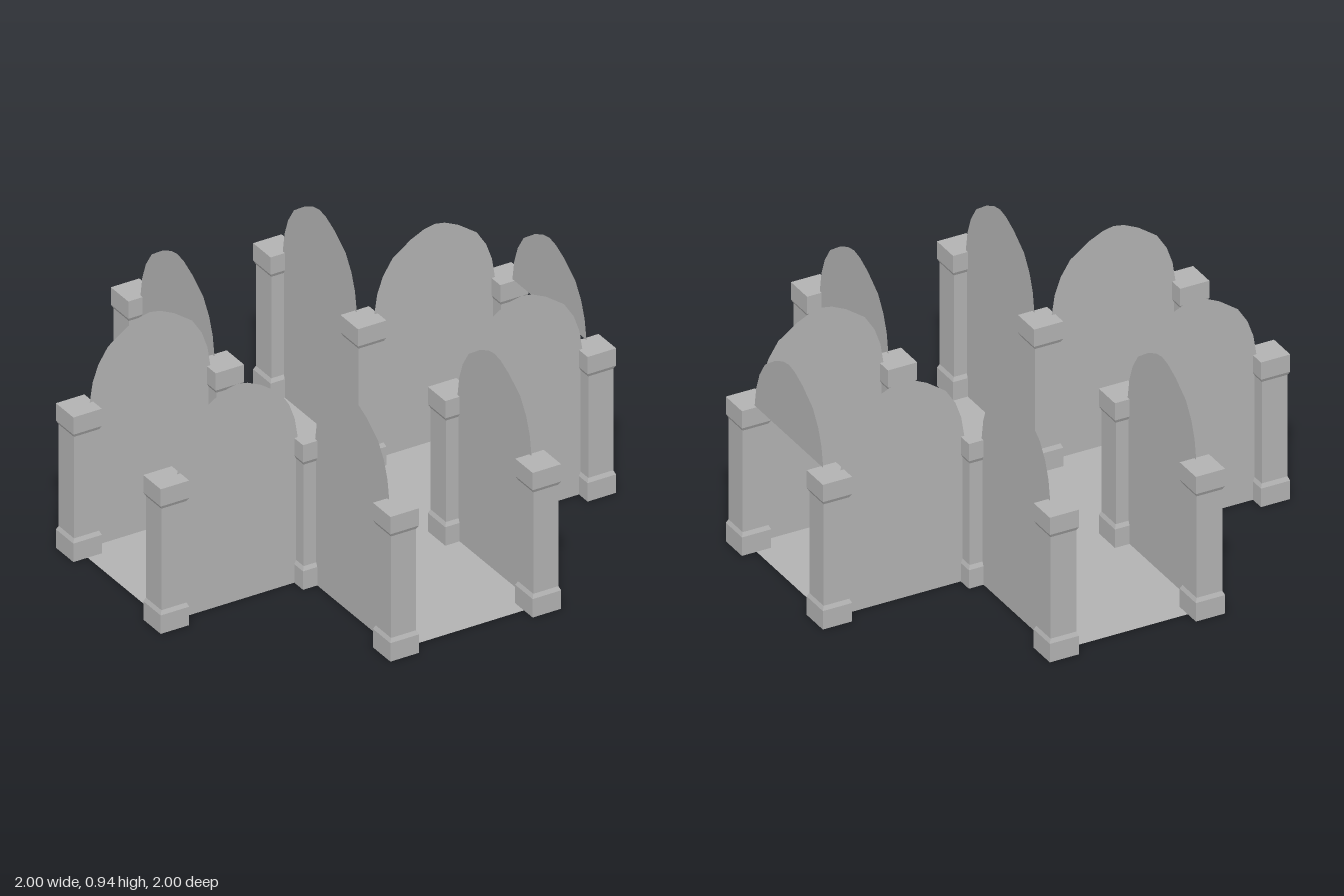
import * as THREE from 'three';

const NEAR = 0.3125, FAR = 0.9375, MID = 0.625;
const SPRING = 0.627; // height of the pillar tops, where the arches begin

// Right half of the pointed arch, from springing line to peak
const ARCH = [[0.265, SPRING], [0.252, 0.71], [0.227, 0.78], [0.185, 0.845], [0.105, 0.902], [0.045, 0.93], [0, 0.9385]];

// Flat panel with an arched top, starting at the given height
function archPanel(bottom) {
  const half = bottom < SPRING ? [[0.265, bottom], ...ARCH] : ARCH;
  const left = half.slice(0, -1).reverse().map(([x, y]) => [-x, y]);
  return new THREE.ShapeGeometry(new THREE.Shape([...half, ...left].map(([x, y]) => new THREE.Vector2(x, y))));
}

// Square pillar with bevelled base and cap: a four-sided lathe
function pillarGeometry() {
  const profile = [[0, 0], [0.0625, 0], [0.0625, 0.08], [0.055, 0.097], [0.055, 0.537], [0.0625, 0.552], [0.0625, SPRING], [0, SPRING]];
  const points = profile.map(([r, y]) => new THREE.Vector2(r * Math.SQRT2, y));
  const geometry = new THREE.LatheGeometry(points, 4, Math.PI / 4).toNonIndexed();
  geometry.computeVertexNormals();
  return geometry;
}

export function createModel() {
  const group = new THREE.Group();
  const stone = new THREE.MeshStandardMaterial({ color: 0xb2b2b2, side: THREE.DoubleSide });
  stone.name = 'grey stone';

  const add = (name, geometry, x, z, turn = 0) => {
    const mesh = new THREE.Mesh(geometry, stone);
    mesh.name = name;
    mesh.position.set(x, 0, z);
    mesh.rotation.y = turn;
    group.add(mesh);
    return mesh;
  };

  // Cross-shaped floor
  const corners = [];
  for (const [sx, sy] of [[1, 1], [-1, 1], [-1, -1], [1, -1]]) {
    const arm = [[FAR, NEAR], [NEAR, NEAR], [NEAR, FAR]];
    if (sx * sy < 0) arm.reverse();
    for (const [x, y] of arm) corners.push(new THREE.Vector2(sx * x, sy * y));
  }
  const floor = new THREE.ShapeGeometry(new THREE.Shape(corners));
  floor.rotateX(-Math.PI / 2);
  add('floor', floor, 0, 0);

  // Pillars and arched walls, mirrored into all four corners
  const pillar = pillarGeometry();
  const wall = archPanel(0);
  for (const sx of [-1, 1]) {
    for (const sz of [-1, 1]) {
      add('innerPillar', pillar, sx * NEAR, sz * NEAR);
      add('sidePillar', pillar, sx * FAR, sz * NEAR);
      add('endPillar', pillar, sx * NEAR, sz * FAR);
      add('sideWall', wall, sx * MID, sz * NEAR, sz > 0 ? 0 : Math.PI);
      add('endWall', wall, sx * NEAR, sz * MID, sx * Math.PI / 2);
    }
  }

  // Arched panel above the open doorway on the left arm
  add('doorwayArch', archPanel(SPRING), FAR, 0, Math.PI / 2);

  return group;
}
